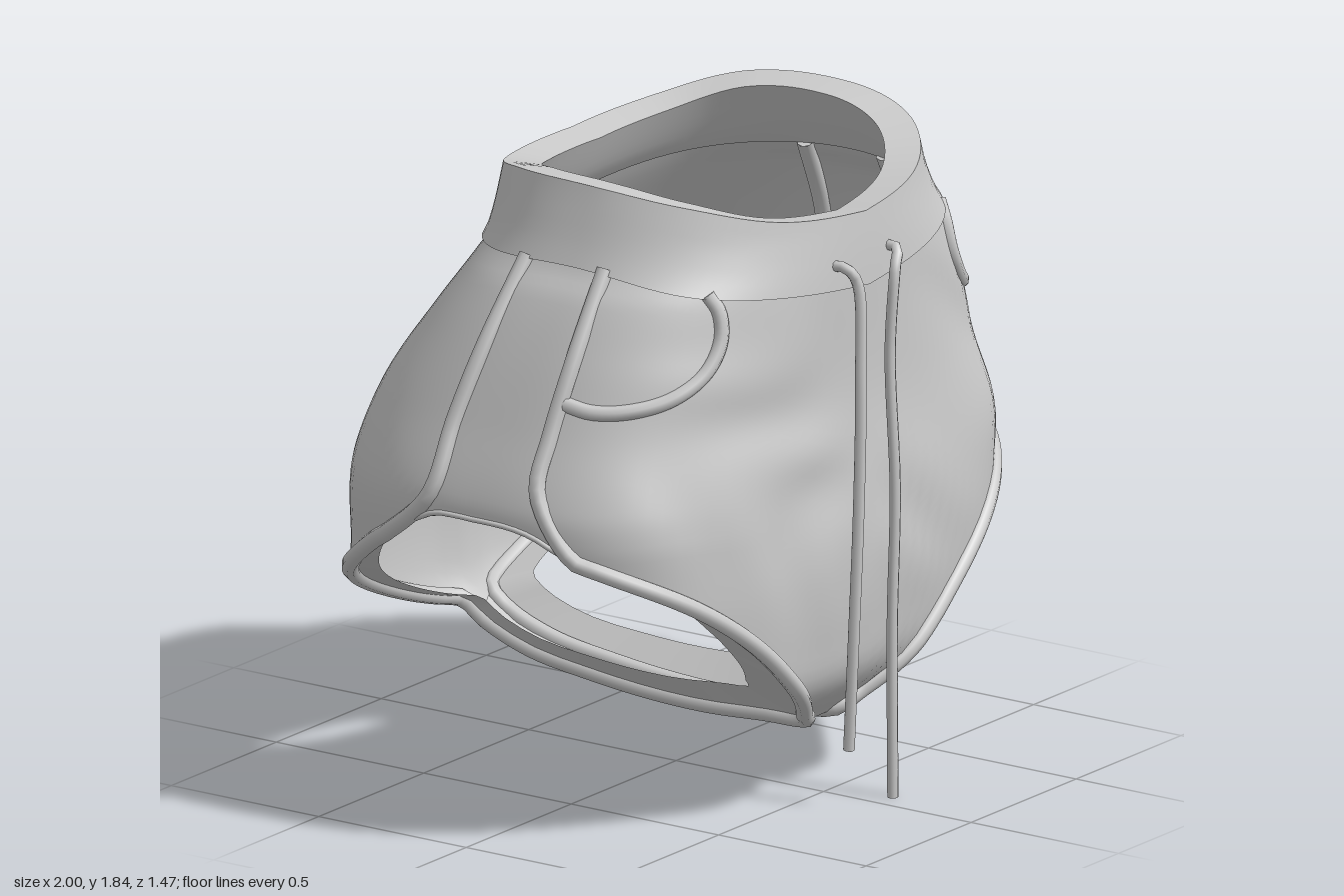
import * as THREE from 'three';
import { mergeVertices } from 'three/addons/utils/BufferGeometryUtils.js';

const material = new THREE.MeshStandardMaterial({ color: 0xcccccc, roughness: 0.8, side: THREE.DoubleSide });
const V = (x, y, z) => new THREE.Vector3(x, y, z);

// Smooth interpolation through [key, value] pairs in rising order of key
function smooth(table) {
  const n = table.length;
  const slope = (i) => {
    const a = table[Math.max(i - 1, 0)], b = table[Math.min(i + 1, n - 1)];
    return (b[1] - a[1]) / (b[0] - a[0]);
  };
  return (k) => {
    k = Math.min(Math.max(k, table[0][0]), table[n - 1][0]);
    let i = 0;
    while (i < n - 2 && k > table[i + 1][0]) i++;
    const [k0, v0] = table[i], [k1, v1] = table[i + 1], h = k1 - k0, t = (k - k0) / h;
    const t2 = t * t, t3 = t2 * t;
    return (2 * t3 - 3 * t2 + 1) * v0 + (t3 - 2 * t2 + t) * h * slope(i)
      + (3 * t2 - 2 * t3) * v1 + (t3 - t2) * h * slope(i + 1);
  };
}

// Horizontal section sizes by height; the right side is slightly fuller
const halfWidth = smooth([[0.2, 0.85], [0.5, 0.92], [0.75, 0.935], [0.9, 0.957], [1.0, 0.953], [1.2, 0.88], [1.4, 0.8], [1.55, 0.725], [1.63, 0.665], [1.84, 0.6]]);
const frontZ = smooth([[0.22, 0.48], [0.36, 0.605], [0.5, 0.64], [0.7, 0.66], [0.9, 0.655], [1.2, 0.635], [1.6, 0.645], [1.84, 0.64]]);
const backZ = smooth([[0.22, -0.5], [0.33, -0.66], [0.45, -0.725], [0.8, -0.725], [1.0, -0.7], [1.2, -0.63], [1.4, -0.5], [1.57, -0.385], [1.64, -0.36], [1.84, -0.35]]);
const frontPower = smooth([[0.9, 3.4], [1.3, 2.8], [1.7, 2.2]]);
const RIGHT = 1.025;
const toSide = (p, side) => V(p.x * (side < 0 ? -RIGHT : 1), p.y, p.z);

// Edge heights by angle from the centre front (0) to the centre back (pi)
const hemY = smooth([[0, 0.22], [0.08, 0.23], [0.27, 0.36], [0.485, 0.56], [0.685, 0.71], [0.86, 0.8], [1.11, 0.885], [1.28, 0.94], [1.57, 0.95], [1.71, 0.945], [1.96, 0.85], [2.26, 0.7], [2.64, 0.52], [2.89, 0.42], [Math.PI, 0.35]]);
const seamY = smooth([[0, 1.5], [0.8, 1.57], [1.5, 1.63], [2.3, 1.61], [Math.PI, 1.575]]);
const topY = smooth([[0, 1.71], [0.5, 1.745], [1.0, 1.81], [1.5, 1.845], [2.1, 1.84], [2.6, 1.79], [Math.PI, 1.775]]);
const fold = (a) => (a > Math.PI ? 2 * Math.PI - a : a);

// Point on the garment at an angle and height; inset moves it inward
function surface(a, y, inset = 0) {
  const s = Math.sin(a), c = Math.cos(a), zf = frontZ(y), zb = backZ(y);
  const n = c > 0 ? frontPower(y) : 2.75;
  const r = Math.pow(Math.pow(Math.abs(s), n) + Math.pow(Math.abs(c), n), -1 / n);
  const x = (halfWidth(y) - inset) * r * s;
  let z = (zf + zb) / 2 + ((zf - zb) / 2 - inset) * r * c;
  // cleft at the centre back, fading toward the waist
  if (c < 0) z += 0.035 * Math.exp(-((x / 0.08) ** 2)) * THREE.MathUtils.smoothstep(1.45 - y, 0, 0.7);
  return V(x < 0 ? x * RIGHT : x, y, z);
}

// Point on the flank of one side at height y and depth z
function flank(y, z) {
  const zf = frontZ(y), zb = backZ(y);
  return surface(Math.atan2(1, (z - (zf + zb) / 2) / ((zf - zb) / 2)), y);
}

// Grid surface from f(u, v)
function sheet(name, nu, nv, f) {
  const pos = [], idx = [];
  for (let i = 0; i <= nu; i++) for (let j = 0; j <= nv; j++) pos.push(...f(i / nu, j / nv).toArray());
  for (let i = 0; i < nu; i++) for (let j = 0; j < nv; j++) {
    const a = i * (nv + 1) + j, b = a + nv + 1;
    idx.push(a, a + 1, b, b, a + 1, b + 1);
  }
  let g = new THREE.BufferGeometry();
  g.setAttribute('position', new THREE.Float32BufferAttribute(pos, 3));
  g.setIndex(idx);
  g = mergeVertices(g, 1e-4);
  g.computeVertexNormals();
  const mesh = new THREE.Mesh(g, material);
  mesh.name = name;
  return mesh;
}

// Round cord with closed ends, optionally mirrored
function cord(name, points, radius, side = 1, segments = 60) {
  const path = new THREE.CatmullRomCurve3(points.map((p) => toSide(p, side)), false, 'centripetal');
  const group = new THREE.Group();
  group.name = name;
  group.add(new THREE.Mesh(new THREE.TubeGeometry(path, segments, radius, 8), material));
  for (const t of [0, 1]) {
    const cap = new THREE.Mesh(new THREE.CircleGeometry(radius, 8), material);
    cap.position.copy(path.getPoint(t));
    cap.lookAt(path.getPoint(t).addScaledVector(path.getTangent(t), t ? 1 : -1));
    group.add(cap);
  }
  return group;
}

// Points along the hem between two angles
function hem(from, to, count) {
  return Array.from({ length: count + 1 }, (_, i) => {
    const a = from + (to - from) * i / count;
    return surface(a, hemY(a));
  });
}

export function createModel() {
  const model = new THREE.Group();
  model.name = 'shorts';

  // Body from waist seam to hem, with soft creases on the front
  model.add(sheet('body', 128, 36, (u, v) => {
    const a = u * 2 * Math.PI, f = fold(a), top = seamY(f), low = hemY(f);
    const p = surface(a, top + (low - top) * v);
    const fade = Math.sin(Math.PI * v) * Math.max(0, Math.cos(f)) * Math.min(1, Math.abs(p.x) * 4);
    p.z += fade * 0.01 * Math.sin(9 * Math.abs(p.x) + 11 * p.y + 2 * Math.sin(7 * p.y + 5 * p.x));
    return p;
  }));

  // Waistband: lower lip, outside, flat rim, inside
  const outer = (a, v) => surface(a, seamY(fold(a)) + (topY(fold(a)) - seamY(fold(a))) * v, -0.014 * (1 - v));
  const inner = (a, v) => {
    const f = fold(a), top = topY(f), p = surface(a, seamY(f) + (top - seamY(f)) * v, 0.085 * v + 0.012);
    p.y -= 0.015 * v;
    return p;
  };
  const band = new THREE.Group();
  band.name = 'waistband';
  band.add(
    sheet('waistbandLip', 96, 1, (u, v) => (v ? inner : outer)(u * 2 * Math.PI, 0)),
    sheet('waistbandOutside', 96, 6, (u, v) => outer(u * 2 * Math.PI, 1 - v)),
    sheet('waistbandRim', 96, 1, (u, v) => (v ? outer : inner)(u * 2 * Math.PI, 1)),
    sheet('waistbandInside', 96, 6, (u, v) => inner(u * 2 * Math.PI, v)),
  );
  model.add(band);

  // Narrow crotch strip joining front and back
  const crotchY = smooth([[-0.68, 0.37], [-0.55, 0.29], [-0.35, 0.245], [0, 0.21], [0.2, 0.21], [0.35, 0.22], [0.5, 0.25]]);
  const crotchHalf = 0.055;
  model.add(sheet('crotch', 20, 4, (u, v) => {
    const z = 0.49 - 1.17 * u;
    return V((v * 2 - 1) * crotchHalf, crotchY(z), z);
  }));
  const crotchEdge = [0.35, 0.15, -0.05, -0.25, -0.45, -0.6].map((z) => V(crotchHalf, crotchY(z), z));

  const backHem = hem(3.07, 1.95, 14);
  const frontHem = hem(1.08, 0.08, 14);
  const legLoop = new THREE.CatmullRomCurve3([...hem(1.9, 0.08, 24), ...crotchEdge, ...backHem], true, 'centripetal');
  const legCentre = V(0.45, 0.62, -0.02);

  for (const [side, label] of [[1, 'left'], [-1, 'right']]) {
    // Piping runs down the flank, round the leg opening and up again
    const piping = [
      flank(1.635, 0.24), flank(1.4, 0.23), flank(1.2, 0.21), flank(1.05, 0.21),
      ...frontHem, ...crotchEdge, ...backHem,
      flank(1.0, -0.14), flank(1.2, -0.11), flank(1.4, -0.07), flank(1.63, -0.03),
    ];
    model.add(cord(label + 'Piping', piping, 0.025, side, 160));

    // Plain narrow edge under the side panel
    model.add(cord(label + 'PanelEdge', hem(1.05, 1.98, 10), 0.008, side, 20));

    // Hem facing turned inward, widest at the front and crotch, gone at the flank
    model.add(sheet(label + 'HemFacing', 100, 3, (u, v) => {
      const p = legLoop.getPoint(u);
      const width = THREE.MathUtils.smoothstep(0.95 - p.y, 0, 0.4) * (0.21 + 0.08 * p.z);
      return toSide(p.lerp(legCentre, width * v), side);
    }));

    // Pocket edge
    const pocket = [[0.82, 1.58], [0.74, 1.53], [0.7, 1.45], [0.73, 1.37], [0.83, 1.31], [0.98, 1.28], [1.12, 1.275], [1.25, 1.29]];
    model.add(cord(label + 'PocketEdge', pocket.map(([a, y]) => surface(a, y)), 0.022, side, 40));
  }

  // Drawstrings hanging from the waist
  model.add(cord('leftDrawstring', [
    V(0.1, 1.585, 0.62), V(0.095, 1.585, 0.68), V(0.06, 1.54, 0.7), V(0.05, 1.3, 0.69),
    V(0.06, 0.9, 0.7), V(0.06, 0.5, 0.69), V(0.07, 0.005, 0.685),
  ], 0.016));
  model.add(cord('rightDrawstring', [
    V(-0.15, 1.585, 0.62), V(-0.145, 1.585, 0.68), V(-0.12, 1.54, 0.7), V(-0.125, 1.25, 0.715),
    V(-0.12, 0.9, 0.705), V(-0.11, 0.5, 0.68), V(-0.09, 0.175, 0.65),
  ], 0.016));

  // Small fabric tab on the left flank
  const tab = new THREE.Mesh(new THREE.BoxGeometry(0.07, 0.15, 0.025), material);
  tab.name = 'sideTab';
  tab.position.set(0.945, 1.11, 0.185);
  tab.rotation.z = 0.27;
  model.add(tab);

  return model;
}
